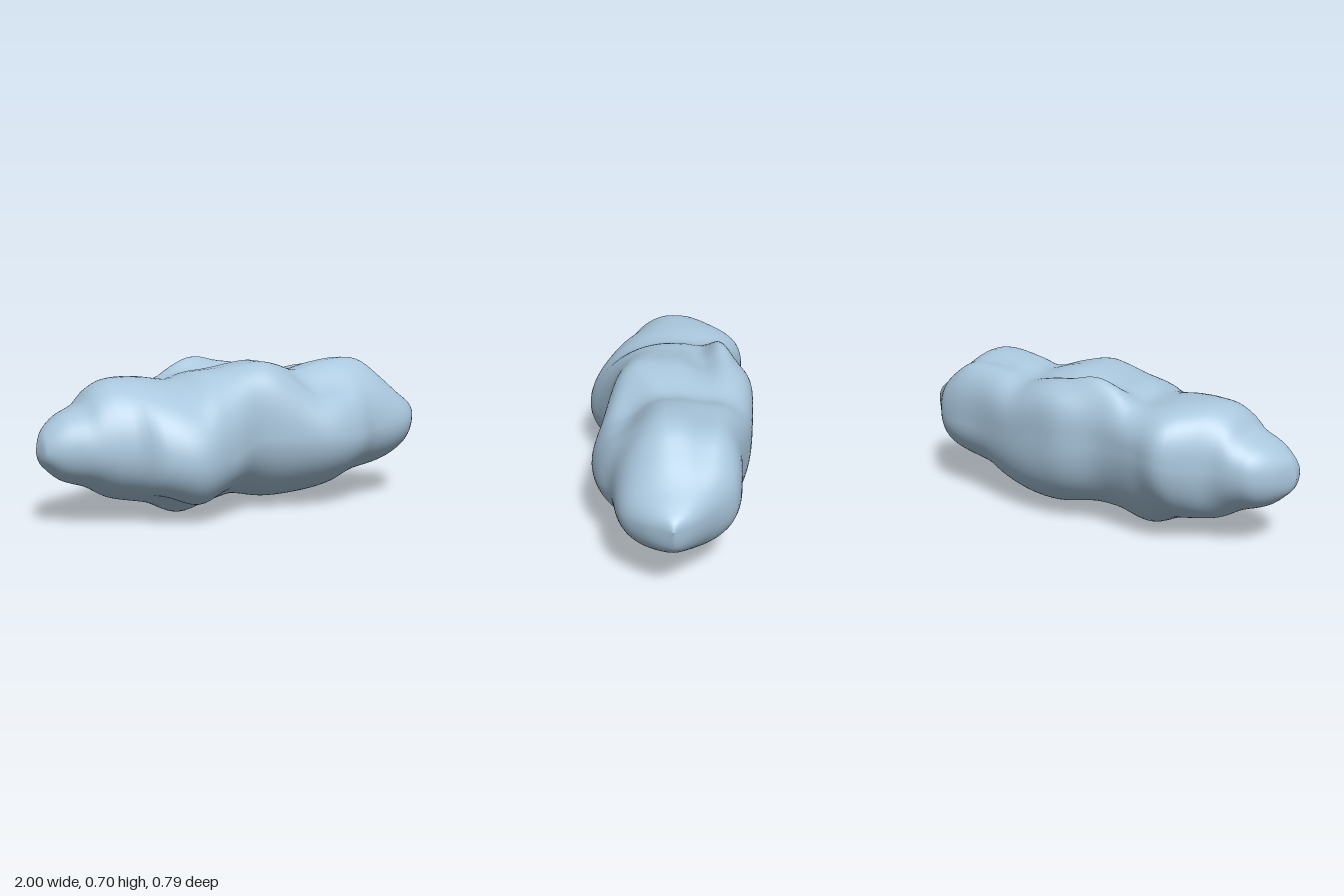
import * as THREE from 'three';

// Guide lines along the cloud: [x, y, z] of its crest, belly, front and back
const crest = [
  [-1, .33, 0], [-.99, .38, 0], [-.97, .42, 0], [-.9, .48, 0], [-.8, .53, -.01], [-.75, .585, -.02],
  [-.67, .625, -.03], [-.5, .63, -.06], [-.35, .615, -.06], [-.27, .645, -.02], [-.16, .66, .02], [-.05, .68, .07],
  [.05, .692, .09], [.15, .675, .07], [.28, .64, .02], [.4, .67, .01], [.55, .69, .01], [.65, .675, 0],
  [.75, .605, -.01], [.85, .525, -.02], [.95, .46, -.02], [.985, .43, -.02], [1, .4, -.02]];
const belly = [
  [-1, .33, 0], [-.99, .29, 0], [-.97, .26, 0], [-.9, .2, 0], [-.78, .155, -.02], [-.68, .1, -.03], [-.5, .06, -.02],
  [-.35, 0, -.02], [-.2, .04, -.02], [-.08, .06, -.04], [.1, .03, -.05], [.25, .035, -.05], [.4, .065, -.03],
  [.5, .11, -.02], [.75, .16, -.02], [.9, .24, -.02], [.97, .3, -.02], [.99, .345, -.02], [1, .4, -.02]];
const front = [
  [-1, .33, 0], [-.98, .33, .08], [-.85, .33, .16], [-.62, .31, .26], [-.54, .29, .335], [-.37, .27, .39],
  [-.2, .29, .33], [-.03, .35, .27], [.15, .34, .305], [.32, .33, .34], [.48, .33, .31], [.6, .35, .25],
  [.83, .37, .195], [.93, .39, .1], [1, .4, -.02]];
const back = [
  [-1, .33, 0], [-.95, .34, -.11], [-.88, .35, -.19], [-.8, .36, -.22], [-.7, .37, -.25], [-.62, .38, -.32],
  [-.53, .4, -.38], [-.4, .41, -.36], [-.2, .41, -.345], [-.03, .4, -.395], [.1, .39, -.395], [.28, .38, -.375],
  [.5, .37, -.325], [.75, .38, -.29], [.85, .39, -.2], [.95, .4, -.1], [1, .4, -.02]];

// Fullness of each quarter along x: 1 is an ellipse, less is squarer, more is leaner
const frontTop = [[-1, 1], [-.37, 1], [0, .8], [.15, .95], [.35, 1.1], [.6, 1.1], [1, 1]];
const backTop = [[-1, .9], [-.5, .75], [-.16, .55], [.08, .48], [.3, .62], [.6, .68], [1, .9]];
const frontLow = [[-1, 1], [-.37, .95], [0, 1.05], [1, 1]];
const backLow = [[-1, 1], [-.35, 1.08], [0, .88], [.3, .88], [1, 1]];

// Puffs and hollows: [x, z, x radius, z radius, height]
const topBumps = [
  [-.16, -.25, .13, .08, .085], [-.05, -.17, .24, .07, -.055], // rear puff and the hollow before it
  [.38, .18, .2, .09, -.06], [.55, -.14, .2, .06, -.03]]; // hollows beside the end puff
const lowBumps = [[-.36, .17, .2, .09, .055]]; // tuck under the front puff

const relief = (bumps, x, z) => bumps.reduce(
  (sum, [cx, cz, rx, rz, h]) => sum + h * Math.exp(-(((x - cx) / rx) ** 2) - ((z - cz) / rz) ** 2), 0);

// Smooth (Hermite) reading of one guide line at x
function sample(line, x, k) {
  let i = 0;
  while (i < line.length - 2 && x > line[i + 1][0]) i++;
  const slope = (n) => {
    const a = line[Math.max(n - 1, 0)], b = line[Math.min(n + 1, line.length - 1)];
    return (b[k] - a[k]) / (b[0] - a[0]);
  };
  const a = line[i], b = line[i + 1], h = b[0] - a[0], t = (x - a[0]) / h, t2 = t * t, t3 = t2 * t;
  return (2 * t3 - 3 * t2 + 1) * a[k] + (t3 - 2 * t2 + t) * h * slope(i)
    + (3 * t2 - 2 * t3) * b[k] + (t3 - t2) * h * slope(i + 1);
}

export function createModel() {
  const group = new THREE.Group();
  group.name = 'cloud';
  const paleBlue = new THREE.MeshStandardMaterial({ color: 0xa9c6dc });
  paleBlue.name = 'paleBlue';

  // Rings of four quarter-curves that join the guide lines
  const rings = 96, sides = 96, positions = [], index = [];
  for (let i = 0; i <= rings; i++) {
    const x = -Math.cos((i / rings) * Math.PI);
    const [top, low, near, far] = [crest, belly, front, back].map((l) => [sample(l, x, 1), sample(l, x, 2)]);
    const [nearTop, farTop, nearLow, farLow] = [frontTop, backTop, frontLow, backLow].map((l) => sample(l, x, 1));
    for (let j = 0; j < sides; j++) {
      const a = (j / sides) * Math.PI * 2, c = Math.cos(a), s = Math.sin(a);
      const side = c >= 0 ? near : far, pole = s >= 0 ? top : low;
      const power = s >= 0 ? (c >= 0 ? nearTop : farTop) : (c >= 0 ? nearLow : farLow);
      const z = pole[1] + (side[1] - pole[1]) * Math.abs(c) ** power;
      const y = side[0] + (pole[0] - side[0]) * Math.abs(s) ** power
        + Math.abs(s) * relief(s > 0 ? topBumps : lowBumps, x, z);
      positions.push(x, y, z);
      if (i < rings) {
        const p = i * sides + j, q = i * sides + (j + 1) % sides;
        index.push(p, p + sides, q, p + sides, q + sides, q);
      }
    }
  }
  const geometry = new THREE.BufferGeometry();
  geometry.setAttribute('position', new THREE.Float32BufferAttribute(positions, 3));
  geometry.setIndex(index);
  geometry.computeVertexNormals();

  const body = new THREE.Mesh(geometry, paleBlue);
  body.name = 'cloudBody';
  group.add(body);
  return group;
}
